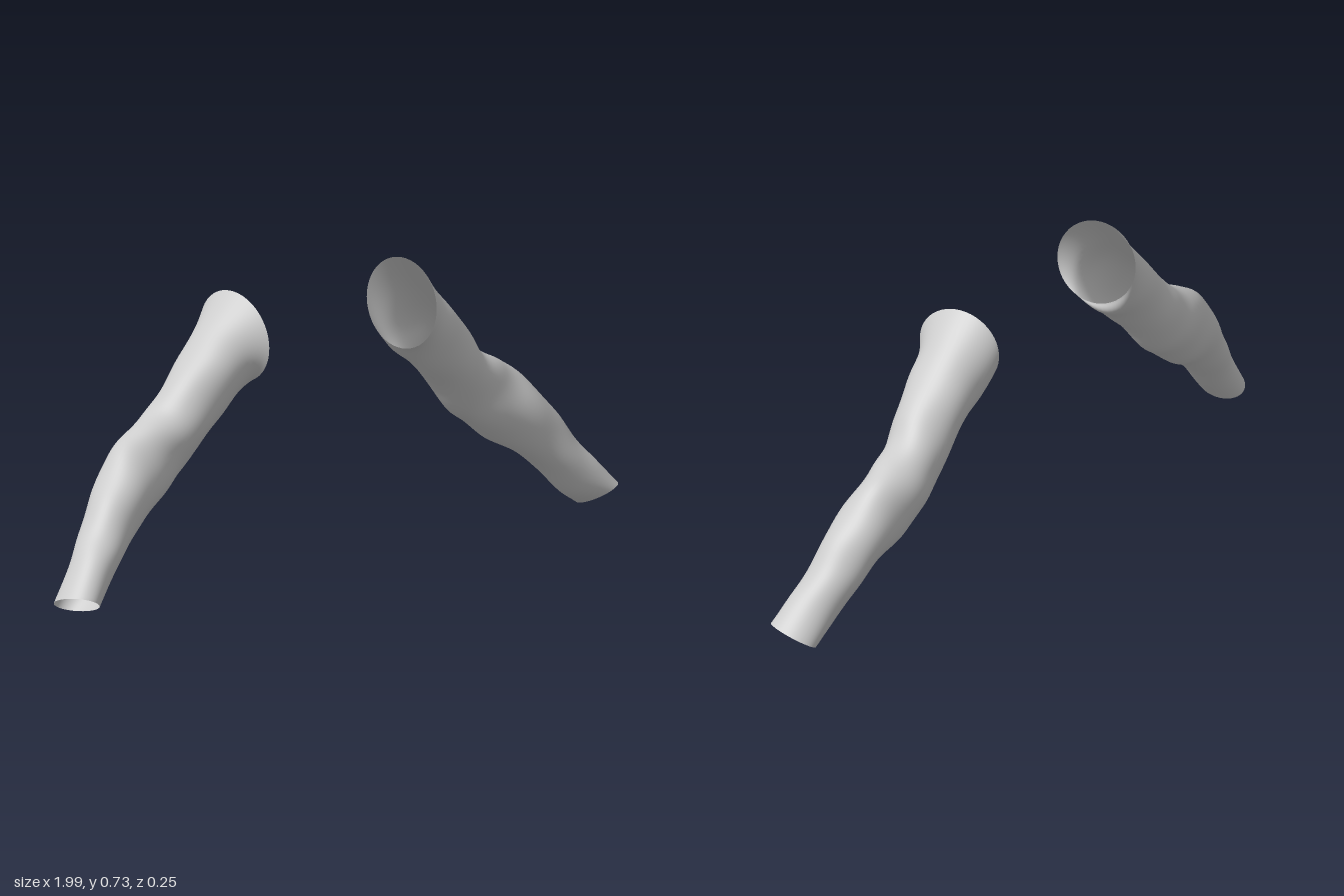
import * as THREE from 'three';

// Sleeve cross-sections, shoulder to wrist:
// [upper x, upper y, lower x, lower y, front z, back z, front lift]
const shared = [
  [0.39, 0.66, 0.31, 0.49, 0.083, -0.112, 0],
  [0.46, 0.595, 0.36, 0.455, 0.074, -0.102, 0],
  [0.53, 0.52, 0.43, 0.395, 0.066, -0.097, 0],
  [0.59, 0.462, 0.495, 0.325, 0.053, -0.099, 0],
  [0.665, 0.425, 0.555, 0.275, 0.051, -0.098, 0],
  [0.74, 0.372, 0.635, 0.222, 0.066, -0.086, 0],
  [0.81, 0.295, 0.72, 0.178, 0.08, -0.065, 0],
  [0.87, 0.215, 0.79, 0.122, 0.091, -0.043, 0],
  [0.93, 0.145, 0.855, 0.06, 0.107, -0.018, 0.008],
];
const leftRings = [
  [0.318, 0.733, 0.285, 0.51, 0.115, -0.126, -0.015], ...shared,
  [0.992, 0.073, 0.907, 0.033, 0.12, -0.005, 0.018],
];
const rightRings = [
  [0.313, 0.737, 0.308, 0.51, 0.115, -0.124, -0.015], ...shared,
  [1.0, 0.053, 0.91, 0.01, 0.125, -0.01, 0.014],
];

// Smooth interpolation between neighbouring cross-sections
function sampleRings(rings, u) {
  const f = u * (rings.length - 1);
  const i = Math.min(Math.floor(f), rings.length - 2);
  const t = f - i;
  const at = (k) => rings[Math.max(0, Math.min(rings.length - 1, k))];
  return at(i).map((p1, c) => {
    const p0 = at(i - 1)[c], p2 = at(i + 1)[c], p3 = at(i + 2)[c];
    return p1 + 0.5 * t * (p2 - p0 + t * (2 * p0 - 5 * p1 + 4 * p2 - p3 + t * (3 * (p1 - p2) + p3 - p0)));
  });
}

function sleeveGeometry(rings, side) {
  const steps = 72, around = 48;
  const positions = [], index = [];
  for (let i = 0; i <= steps; i++) {
    const u = i / steps;
    const [ux, uy, lx, ly, zf, zb, lift] = sampleRings(rings, u);
    const fade = Math.sin(Math.PI * u);
    for (let j = 0; j < around; j++) {
      const a = (j / around) * Math.PI * 2;
      // Soft diagonal cloth folds, fading out at both openings
      const fold = 1 + fade * (0.022 * Math.sin(3 * a + 26 * u) + 0.016 * Math.sin(2 * a - 41 * u));
      const c = Math.cos(a) * fold, s = Math.sin(a) * fold;
      positions.push(
        side * ((ux + lx) / 2 + (c * (ux - lx)) / 2),
        (uy + ly) / 2 + (c * (uy - ly)) / 2 + s * lift,
        (zf + zb) / 2 + (s * (zf - zb)) / 2
      );
      if (i === steps) continue;
      const p = i * around + j, q = i * around + ((j + 1) % around);
      const r = p + around, w = q + around;
      if (side > 0) index.push(p, q, r, q, w, r);
      else index.push(p, r, q, q, r, w);
    }
  }
  const geometry = new THREE.BufferGeometry();
  geometry.setAttribute('position', new THREE.Float32BufferAttribute(positions, 3));
  geometry.setIndex(index);
  geometry.computeVertexNormals();
  return geometry;
}

export function createModel() {
  const group = new THREE.Group();
  group.name = 'sleeves';
  const cloth = new THREE.MeshStandardMaterial({ color: 0xcccccc, side: THREE.DoubleSide });
  cloth.name = 'light grey cloth';

  // Open tubes of cloth, one per arm
  for (const [name, rings, side] of [['leftSleeve', leftRings, 1], ['rightSleeve', rightRings, -1]]) {
    const sleeve = new THREE.Mesh(sleeveGeometry(rings, side), cloth);
    sleeve.name = name;
    group.add(sleeve);
  }
  return group;
}
